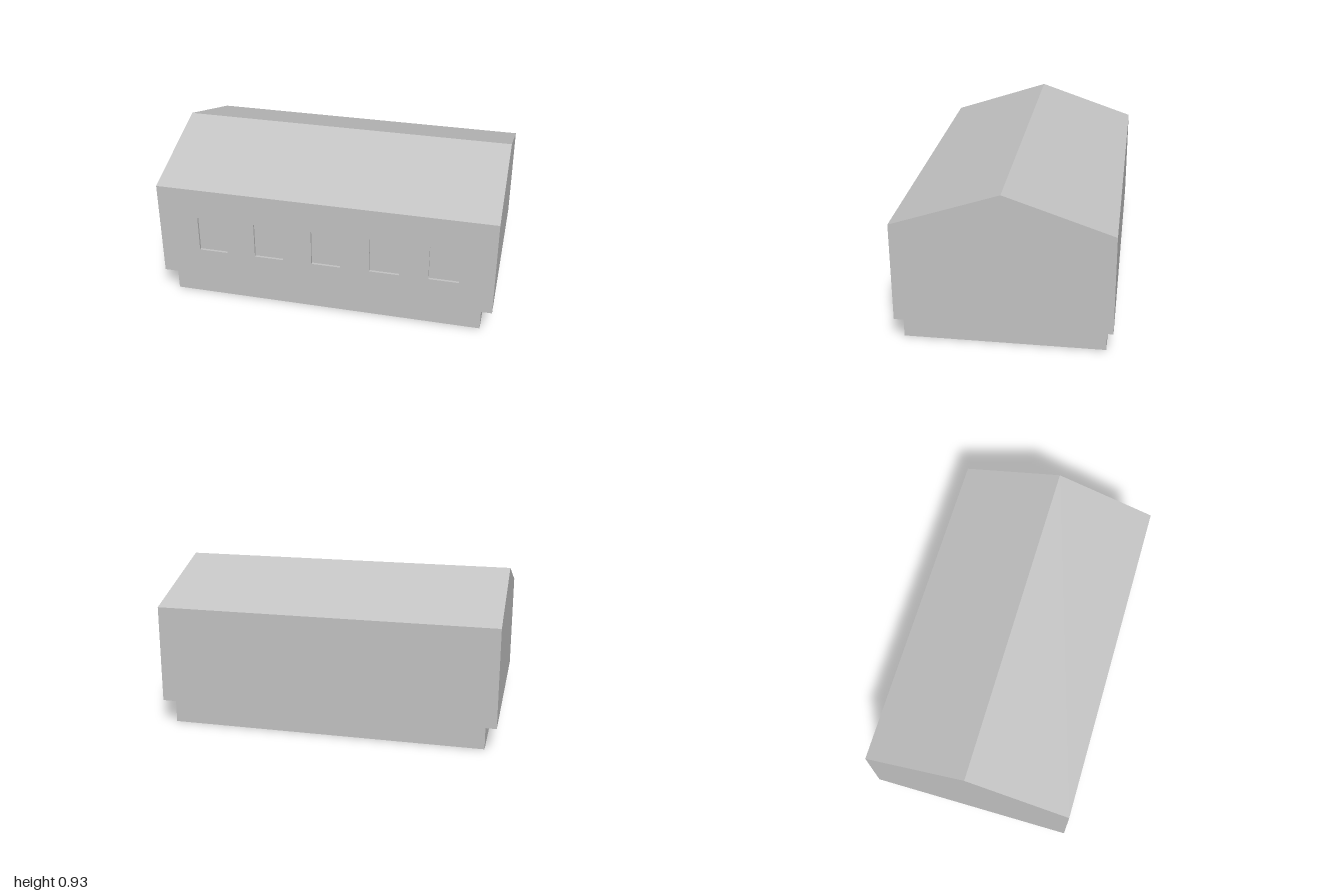
import * as THREE from 'three';

const HALF_LENGTH = 1, HALF_DEPTH = 0.61;
const FLOOR = 0.145, EAVE = 0.727, RIDGE = 0.932;
const RECESS = 0.015;

export function createModel() {
  const group = new THREE.Group();
  const material = new THREE.MeshStandardMaterial({ color: 0xc4c4c4 });
  material.name = 'light grey';

  const add = (name, geometry) => {
    const mesh = new THREE.Mesh(geometry, material);
    mesh.name = name;
    group.add(mesh);
    return mesh;
  };

  // Plinth, set in from the walls
  add('plinth', new THREE.BoxGeometry(1.87, 0.139, 1.146)).position.y = 0.0695;

  // Soffit, sloping slightly down from the wall edges to the plinth
  const soffit = new THREE.BoxGeometry(HALF_LENGTH * 2, 0.007, HALF_DEPTH * 2);
  const p = soffit.attributes.position;
  for (let i = 0; i < p.count; i++) {
    if (p.getY(i) < 0) p.setXYZ(i, Math.sign(p.getX(i)) * 0.935, p.getY(i), Math.sign(p.getZ(i)) * 0.573);
  }
  soffit.computeVertexNormals();
  add('soffit', soffit).position.y = FLOOR - 0.0035;

  // Gabled hall, notched along the front to take the window wall
  const inner = -HALF_DEPTH + RECESS;
  const profile = new THREE.Shape([
    [inner, FLOOR], [HALF_DEPTH, FLOOR], [HALF_DEPTH, EAVE],
    [0, RIDGE], [-HALF_DEPTH, EAVE], [inner, EAVE],
  ].map(([u, v]) => new THREE.Vector2(u, v)));
  const hall = new THREE.ExtrudeGeometry(profile, { depth: HALF_LENGTH * 2, bevelEnabled: false });
  hall.translate(0, 0, -HALF_LENGTH).rotateY(Math.PI / 2);
  add('gabledHall', hall);

  // Front wall with five shallow window recesses
  const rectangle = (PathType, x0, y0, x1, y1) => new PathType([
    new THREE.Vector2(x0, y0), new THREE.Vector2(x1, y0),
    new THREE.Vector2(x1, y1), new THREE.Vector2(x0, y1),
  ]);
  const wall = rectangle(THREE.Shape, -HALF_LENGTH, FLOOR, HALF_LENGTH, EAVE);
  for (let i = -2; i <= 2; i++) {
    const x = 0.02 + i * 0.346;
    wall.holes.push(rectangle(THREE.Path, x - 0.0875, 0.323, x + 0.0875, 0.541));
  }
  const front = new THREE.ExtrudeGeometry(wall, { depth: RECESS, bevelEnabled: false });
  add('frontWindowWall', front).position.z = HALF_DEPTH - RECESS;

  return group;
}
